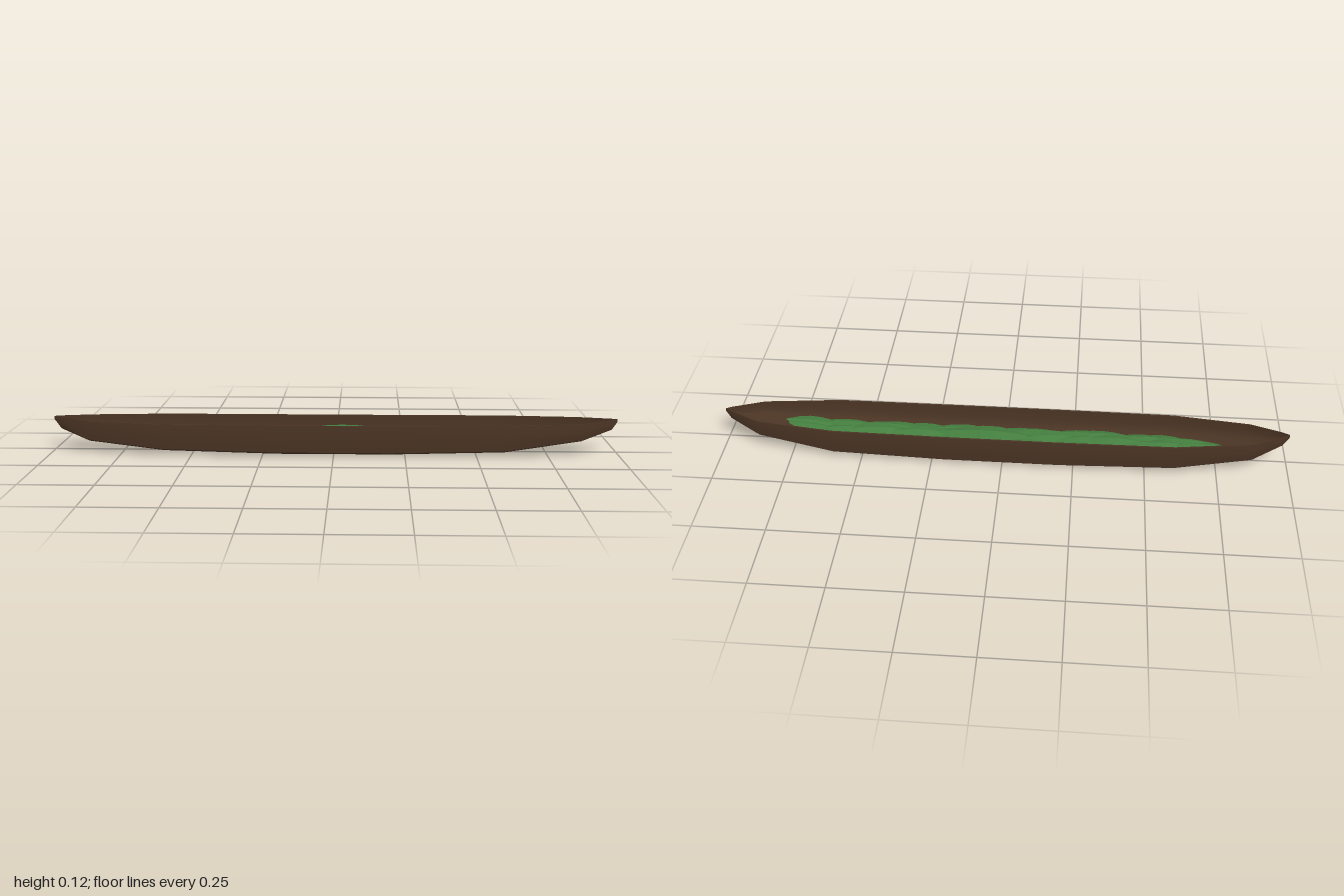
import * as THREE from 'three';
import { toCreasedNormals } from 'three/addons/utils/BufferGeometryUtils.js';

const wood = new THREE.MeshStandardMaterial({ color: 0x4a3424 });
const green = new THREE.MeshStandardMaterial({ color: 0x458040, side: THREE.DoubleSide, flatShading: true });

// Stations along the boat: x, half width, keel height, rim height
const stations = [
  [-1, 0, 0.108, 0.12], [-0.975, 0.015, 0.077, 0.119], [-0.87, 0.062, 0.038, 0.114], [-0.6, 0.1, 0.01, 0.111],
  [-0.2, 0.104, 0, 0.11], [0.2, 0.104, 0, 0.11],
  [0.6, 0.1, 0.01, 0.111], [0.87, 0.064, 0.047, 0.114], [0.98, 0.013, 0.083, 0.119], [1, 0, 0.108, 0.12],
];
// Half section, outer rim to keel, then inner floor to inner rim (width share, height share)
const outer = [[0.96, 1], [1, 0.6], [0.95, 0.13], [0.55, 0]];
const inner = [[0.45, 0.22], [0.78, 0.36], [0.88, 0.65], [0.9, 1]];

function loft(rings) {
  const n = rings[0].length;
  const index = [];
  for (let i = 0; i < rings.length - 1; i++) {
    for (let j = 0; j < n; j++) {
      const k = (j + 1) % n;
      const a = i * n + j, d = i * n + k, b = a + n, c = d + n;
      index.push(a, d, c, a, c, b);
    }
  }
  const geo = new THREE.BufferGeometry();
  geo.setAttribute('position', new THREE.Float32BufferAttribute(rings.flat(2), 3));
  geo.setIndex(index);
  return toCreasedNormals(geo, 0.9);
}

function hullGeometry() {
  const mirror = (pts) => pts.map(([w, h]) => [-w, h]).reverse();
  const section = [...outer, ...mirror(outer), ...mirror(inner), ...inner];
  return loft(stations.map(([x, w, low, top]) =>
    section.map(([sw, sh]) => [x, low + (top - low) * sh, sw * w])));
}

// Pointed leaf folded along its midrib and drooping at both ends
function leafGeometry(length, width) {
  const geo = new THREE.PlaneGeometry(length, width, 6, 2);
  geo.rotateX(-Math.PI / 2);
  const p = geo.attributes.position;
  const spread = [0.1, 0.7, 1, 0.95, 0.8, 0.5, 0.02];
  for (let i = 0; i < p.count; i++) {
    const u = p.getX(i) / length;
    const z = p.getZ(i) * spread[Math.round((u + 0.5) * 6)];
    p.setZ(i, z);
    p.setY(i, -Math.abs(z) * 0.25 - u * u * 0.05);
  }
  return geo;
}

function seeded(seed) {
  return () => (seed = (seed * 16807) % 2147483647) / 2147483647;
}

export function createModel() {
  const model = new THREE.Group();

  const hull = new THREE.Mesh(hullGeometry(), wood);
  hull.name = 'hull';
  model.add(hull);

  // Bed of overlapping leaves inside the hull
  const leaves = new THREE.Group();
  leaves.name = 'leaves';
  const rand = seeded(77);
  const vary = (s) => (rand() * 2 - 1) * s;
  const columns = 14;
  for (let i = 0; i < columns; i++) {
    for (const row of [-1, 1, 0]) {
      const x = -0.68 + (1.34 * i) / (columns - 1) + row * 0.015;
      const leaf = new THREE.Mesh(leafGeometry(0.22 + vary(0.02), 0.066 + vary(0.008)), green);
      const taper = Math.abs(x) > 0.6 ? 0.75 : 1;
      leaf.position.set(x, 0.068 - Math.abs(row) * 0.004 + vary(0.006), row * 0.033 * taper - 0.004);
      leaf.rotation.set(row * 0.15 + vary(0.15), vary(0.14) + (i % 2 ? Math.PI : 0), vary(0.08));
      leaf.name = 'leaf';
      leaves.add(leaf);
    }
  }

  // Larger leaf lying on top near the middle
  const bigLeaf = new THREE.Mesh(leafGeometry(0.32, 0.11), green);
  bigLeaf.name = 'bigLeaf';
  bigLeaf.position.set(0.08, 0.086, -0.012);
  bigLeaf.rotation.set(0.1, -0.06, -0.04);
  leaves.add(bigLeaf);

  model.add(leaves);
  return model;
}
